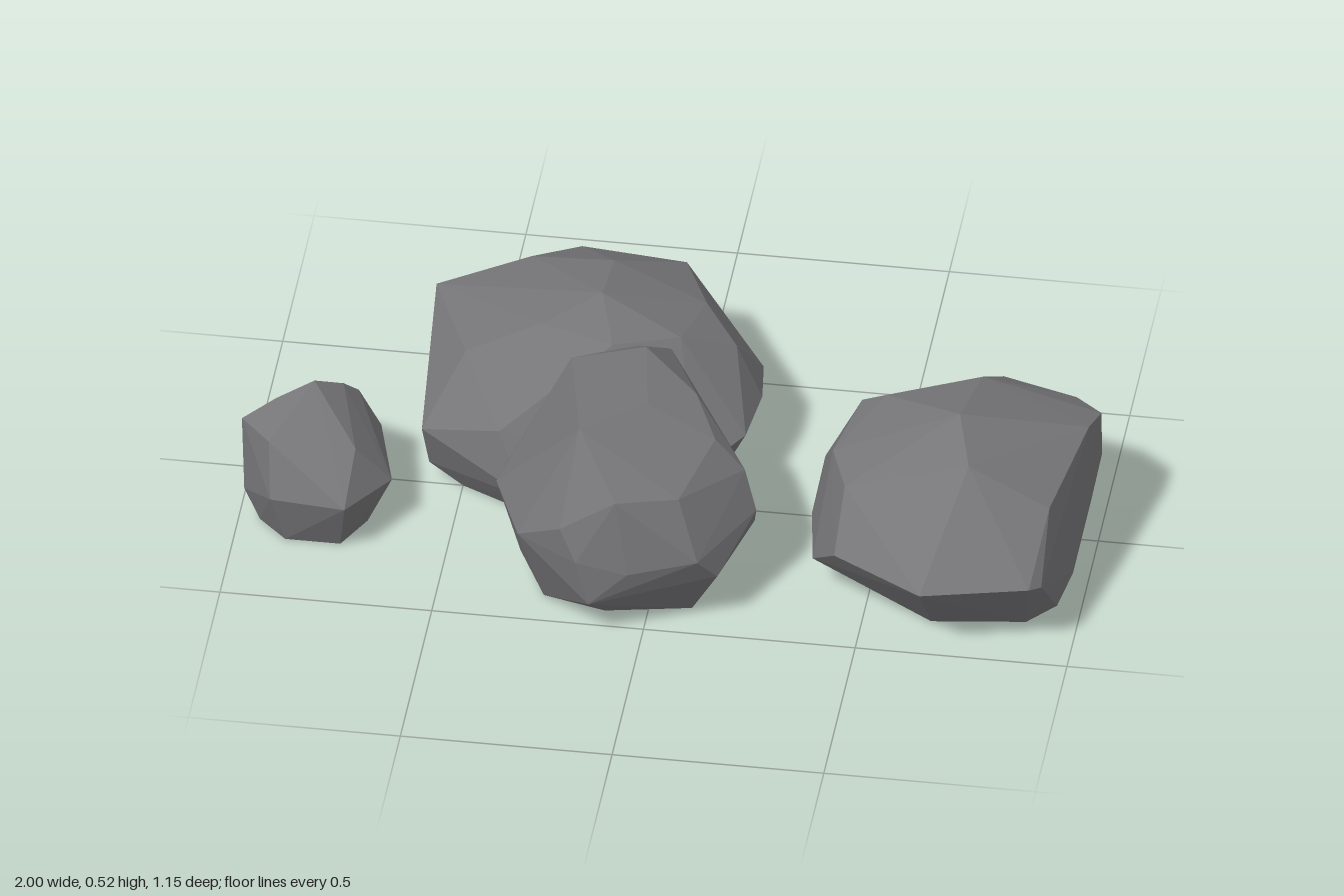
import * as THREE from 'three';
import { ConvexGeometry } from 'three/addons/geometries/ConvexGeometry.js';

// Each boulder is a faceted hull: a flat ground footprint, a wide girdle and a crown.
const boulders = {
  smallBoulder: {
    base: [[-.95, .2], [-.88, .27], [-.75, .27], [-.70, .17], [-.76, .02], [-.86, -.04], [-.94, .02]],
    girdle: [
      [-.64, .14, .19], [-.73, .15, .34], [-.91, .14, .31], [-.99, .07, .18], [-1, .1, .03],
      [-.96, .08, -.07], [-.86, .1, -.10], [-.79, .16, -.09], [-.69, .17, .02],
    ],
    crown: [
      [-.83, .37, .14], [-.77, .325, .08], [-.74, .28, .04], [-.72, .25, .23], [-.92, .27, .26],
      [-.92, .31, .14], [-1, .25, .15],
    ],
  },
  backBoulder: {
    base: [[-.5, 0], [-.3, .1], [-.05, .05], [.08, -.1], [.08, -.28], [-.05, -.4], [-.3, -.42], [-.48, -.3]],
    girdle: [
      [-.59, .19, .05], [-.58, .06, 0], [-.33, .09, .15], [-.4, .24, .1], [.06, .15, .07], [.16, .18, -.05],
      [.18, .2, -.18], [.17, .22, -.27], [.1, .2, -.38], [0, .2, -.5], [-.1, .2, -.55],
      [-.34, .2, -.58], [-.5, .2, -.49], [-.59, .12, -.3], [-.61, .34, -.32], [-.2, .05, -.5],
    ],
    crown: [
      [-.2, .445, -.2], [-.15, .43, -.02], [-.33, .415, -.1], [-.5, .36, -.04], [-.2, .405, -.385],
      [.03, .36, -.31], [-.4, .37, -.42], [-.3, .315, -.55], [-.05, .31, -.53], [.12, .34, -.18], [0, .41, -.1],
    ],
  },
  frontBoulder: {
    base: [[-.3, .25], [-.25, .4], [-.1, .44], [.1, .4], [.14, .25], [0, .05], [-.2, .05]],
    girdle: [
      [-.38, .23, .28], [-.37, .22, .2], [-.3, .23, .48], [-.32, .05, .3], [-.15, .23, .575],
      [-.12, .11, .57], [-.03, .2, .565], [.13, .22, .52], [.17, .15, .47], [.24, .24, .32],
      [.23, .18, .28], [-.2, .2, -.05], [0, .2, -.07],
    ],
    crown: [
      [-.16, .52, .44], [-.24, .42, .03], [-.19, .31, .555], [-.06, .39, .545], [.08, .37, .48],
      [-.02, .505, .3], [.08, .475, .2], [-.06, .485, .05], [-.09, .435, -.02], [-.02, .39, -.08],
      [-.1, .39, -.08], [.14, .42, .3], [.21, .34, .3],
    ],
  },
  sideBoulder: {
    base: [[.54, .24], [.66, .37], [.88, .34], [.92, .1], [.85, -.02], [.65, -.04], [.5, .08]],
    girdle: [
      [.34, .09, .11], [.37, .1, .3], [.44, .21, .43], [.66, .21, .56], [.91, .21, .5],
      [.935, .2, .47], [.97, .05, .2], [.95, .04, .32], [.98, .1, -.02], [1, .21, -.06],
      [.93, .2, -.15], [.74, .18, -.21], [.56, .2, -.17], [.42, .2, -.08], [.36, .2, .03], [.8, .09, -.18],
    ],
    crown: [
      [.7, .467, .18], [.4, .33, .18], [.45, .34, .33], [.745, .44, .345], [.935, .335, .34], [.985, .365, .05],
      [1, .335, -.05], [.72, .41, -.05], [.75, .32, -.18], [.5, .37, 0], [.44, .335, -.02], [.93, .315, -.13],
    ],
  },
};

export function createModel() {
  const group = new THREE.Group();
  group.name = 'rockCluster';
  const stone = new THREE.MeshStandardMaterial({ color: 0x77777a });
  stone.name = 'grey stone';

  for (const [name, { base, girdle, crown }] of Object.entries(boulders)) {
    const points = [
      ...base.map(([x, z]) => new THREE.Vector3(x, 0, z)),
      ...[...girdle, ...crown].map((p) => new THREE.Vector3(...p)),
    ];
    const rock = new THREE.Mesh(new ConvexGeometry(points), stone);
    rock.name = name;
    group.add(rock);
  }
  return group;
}
